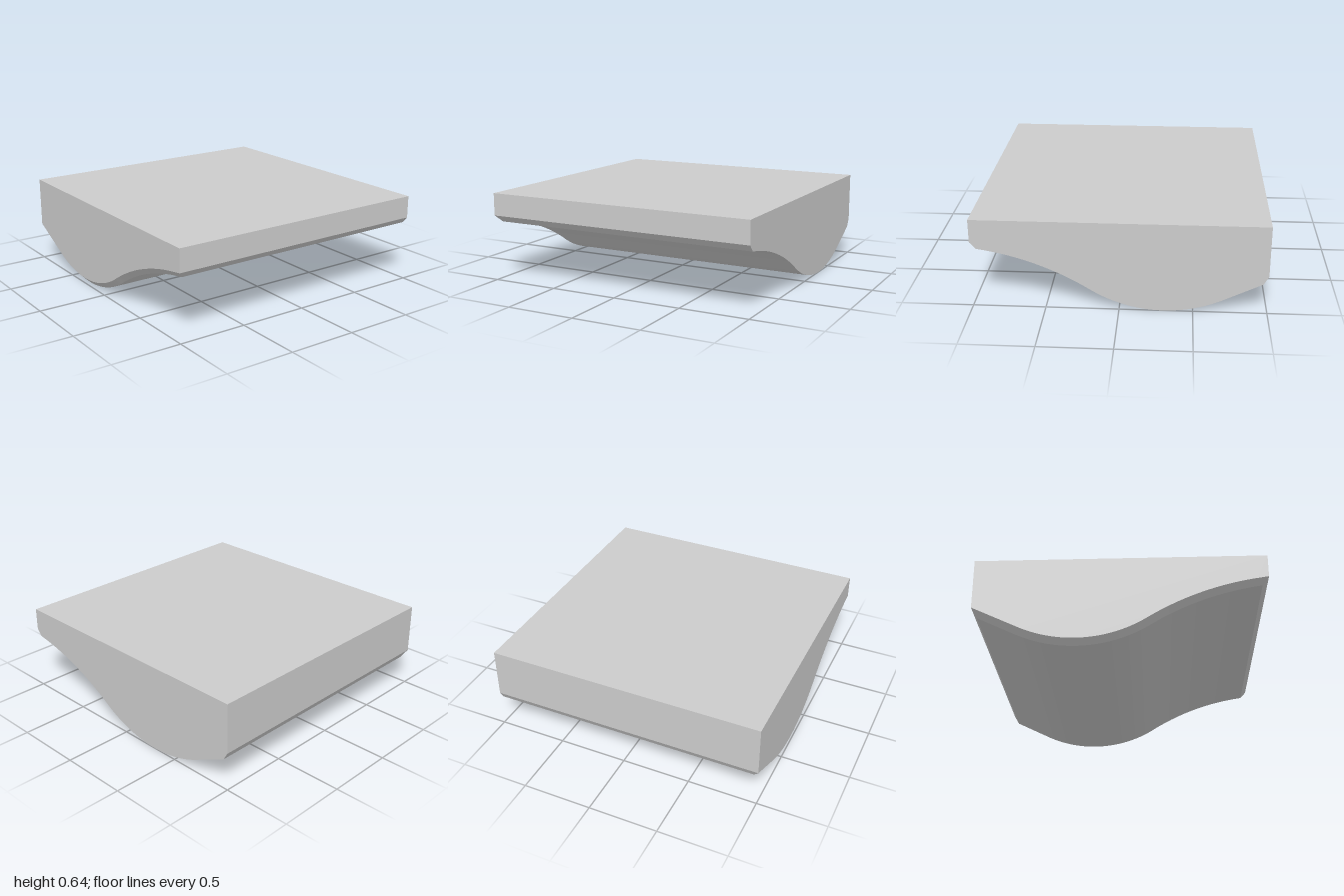
import * as THREE from 'three';
import { toCreasedNormals } from 'three/addons/utils/BufferGeometryUtils.js';

const TOP = 0.64, BEVEL = 0.04;
const LEFT = [-1, 0.279], RIGHT = [1, 0.477]; // lower corners of the side walls

// Wavy underside, pushed inward by `inset` along its normal: straight run, valley arc, crest arc
function underside(inset) {
  const points = [];
  const add = (x, y, angle) =>
    points.push([x - Math.sin(angle) * inset, y + Math.cos(angle) * inset]);
  const R1 = 0.92, R2 = 1.885, a0 = -0.448, a1 = 0.573, a2 = 0.14, steps = 28;
  add(-0.965, 0.22, a0);
  for (let i = 0; i <= steps; i++) {
    const a = a0 + (a1 - a0) * i / steps;
    add(-0.3 + R1 * Math.sin(a), R1 * (1 - Math.cos(a)), a);
  }
  const x1 = -0.3 + R1 * Math.sin(a1), y1 = R1 * (1 - Math.cos(a1));
  for (let i = 1; i <= steps; i++) {
    const a = a1 + (a2 - a1) * i / steps;
    add(x1 + R2 * (Math.sin(a1) - Math.sin(a)), y1 + R2 * (Math.cos(a) - Math.cos(a1)), a);
  }
  return points;
}

// Closed outline, counter-clockwise seen from the front
const outline = (curve) => [...curve, RIGHT, [1, TOP], [-1, TOP], LEFT];

function createBlock() {
  const outer = underside(0), inner = underside(BEVEL);
  // The bevel meets the wall corners in a mitre at the front face
  inner[0] = LEFT;
  inner[inner.length - 1] = RIGHT;

  const positions = [];
  const triangle = (a, b, c) => {
    const t = new THREE.Triangle(...[a, b, c].map((p) => new THREE.Vector3(...p)));
    if (t.getArea() > 1e-8) positions.push(...a, ...b, ...c);
  };

  // Walls, underside and front bevel
  const rings = [[outer, -1], [outer, 1 - BEVEL], [inner, 1]].map(
    ([curve, z]) => outline(curve).map(([x, y]) => [x, y, z]));
  for (let r = 0; r < rings.length - 1; r++) {
    const back = rings[r], front = rings[r + 1];
    back.forEach((p, i) => {
      const j = (i + 1) % back.length;
      triangle(p, back[j], front[j]);
      triangle(p, front[j], front[i]);
    });
  }

  // Flat front and back faces
  const cap = (points, z, flip) => {
    const contour = points.map(([x, y]) => new THREE.Vector2(x, y));
    for (const face of THREE.ShapeUtils.triangulateShape(contour, [])) {
      const [a, b, c] = face.map((i) => [contour[i].x, contour[i].y, z]);
      if (flip) triangle(a, c, b); else triangle(a, b, c);
    }
  };
  cap([...inner, [1, TOP], [-1, TOP]], 1, false);
  cap(outline(outer), -1, true);

  const geometry = new THREE.BufferGeometry();
  geometry.setAttribute('position', new THREE.Float32BufferAttribute(positions, 3));
  return toCreasedNormals(geometry, 0.35);
}

export function createModel() {
  const group = new THREE.Group();
  group.name = 'contouredBlock';
  const block = new THREE.Mesh(createBlock(), new THREE.MeshStandardMaterial({ color: 0xcccccc }));
  block.name = 'block';
  group.add(block);
  return group;
}
